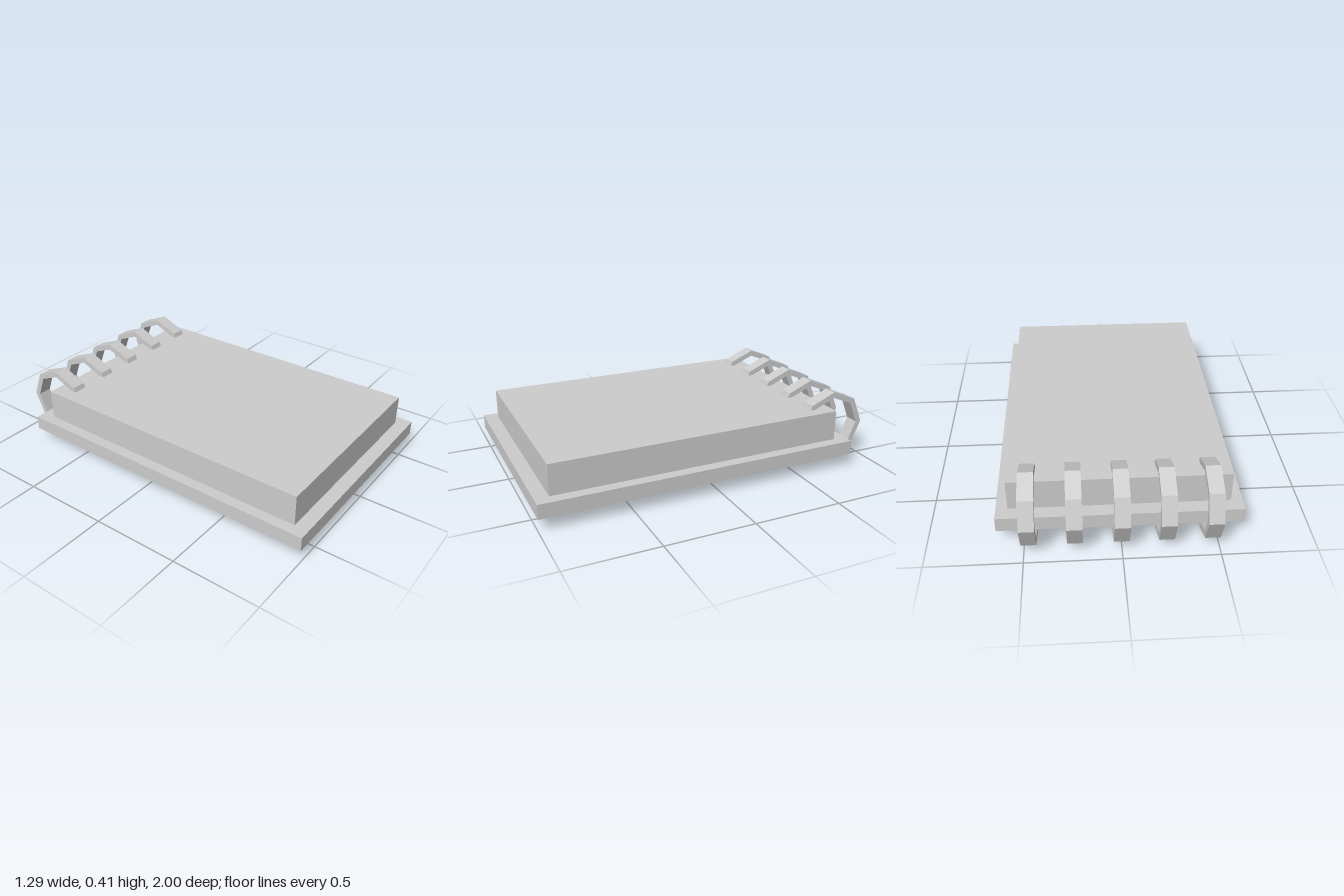
import * as THREE from 'three';

const material = new THREE.MeshStandardMaterial({ color: 0xcccccc, flatShading: true });

// Box given by its width and its y and z ranges, centred on x = 0
function slab(name, width, y0, y1, z0, z1) {
  const mesh = new THREE.Mesh(new THREE.BoxGeometry(width, y1 - y0, z1 - z0), material);
  mesh.name = name;
  mesh.position.set(0, (y0 + y1) / 2, (z0 + z1) / 2);
  return mesh;
}

function octagon(radius) {
  return Array.from({ length: 8 }, (_, i) => {
    const a = (i * Math.PI) / 4;
    return new THREE.Vector2(radius * Math.cos(a), radius * Math.sin(a));
  });
}

export function createModel() {
  const model = new THREE.Group();
  model.name = 'ringBinderNotebook';

  // Wide back cover with the thick block of pages on it
  model.add(slab('cover', 1.286, 0.074, 0.155, -0.84, 1));
  model.add(slab('pageBlock', 1.162, 0.155, 0.327, -0.763, 0.923));

  // Octagonal binding rings, passing through cover and pages
  const width = 0.08;
  const profile = new THREE.Shape(octagon(0.2065));
  profile.holes.push(new THREE.Path(octagon(0.172).reverse()));
  const ringGeometry = new THREE.ExtrudeGeometry(profile, { depth: width, bevelEnabled: false });
  ringGeometry.translate(0, 0, -width / 2);
  ringGeometry.rotateY(Math.PI / 2);

  const rings = new THREE.Group();
  rings.name = 'bindingRings';
  [-0.462, -0.228, 0.002, 0.239, 0.473].forEach((x, i) => {
    const ring = new THREE.Mesh(ringGeometry, material);
    ring.name = `bindingRing${i + 1}`;
    ring.position.set(x, 0.2075, -0.7935);
    rings.add(ring);
  });
  model.add(rings);

  return model;
}
